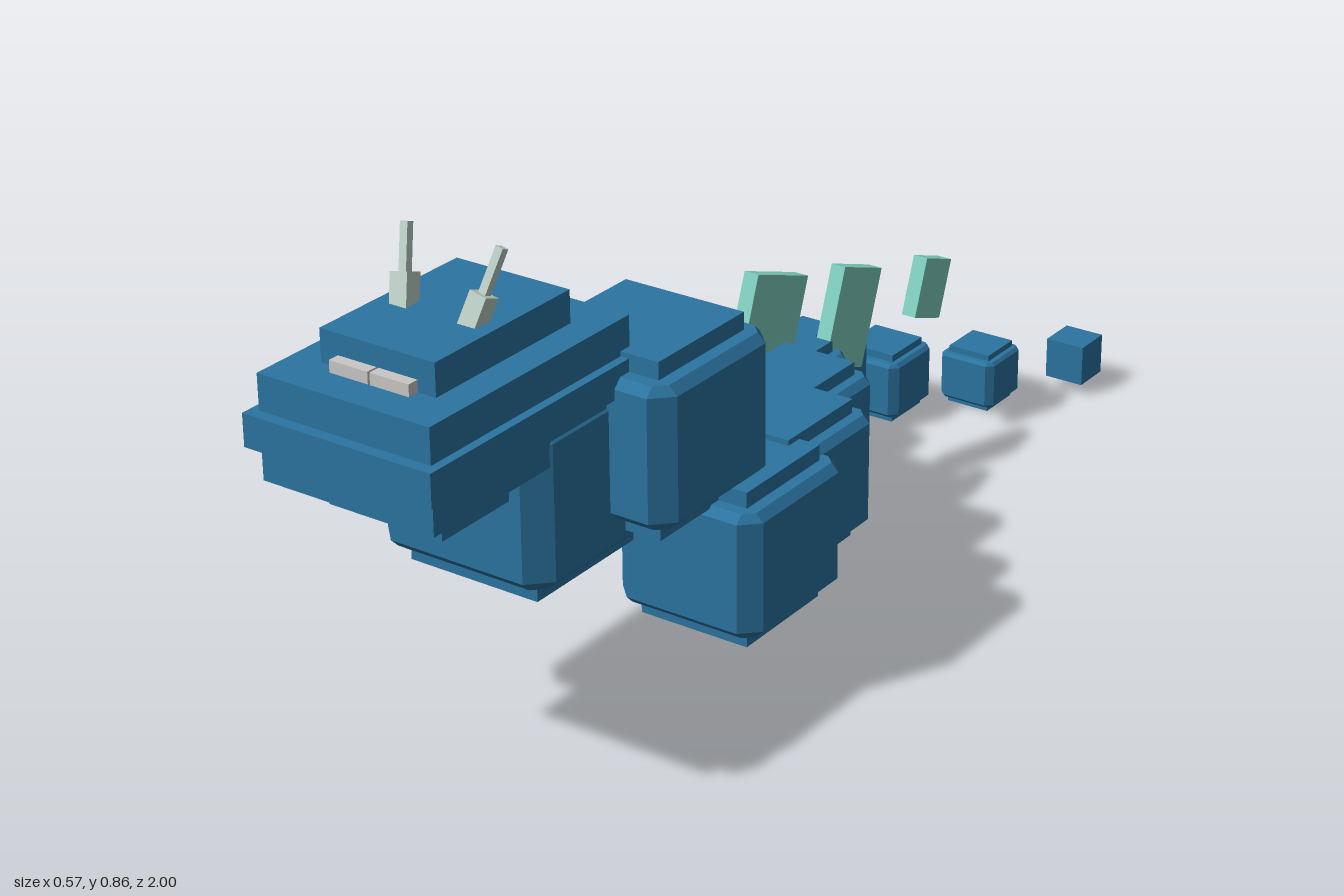
import * as THREE from 'three';
import { ConvexGeometry } from 'three/addons/geometries/ConvexGeometry.js';

const mat = (name, color) => {
  const m = new THREE.MeshStandardMaterial({ color });
  m.name = name;
  return m;
};

export function createModel() {
  const blue = mat('blue', 0x2b74a0);
  const teal = mat('teal', 0x80d0c0);
  const pale = mat('paleGreen', 0xbccfc6);
  const grey = mat('lightGrey', 0xcac8c6);
  const MID = -0.03; // centre line of head and fins
  const model = new THREE.Group();
  model.name = 'serpent';

  const box = (name, m, size, pos, parent = model) => {
    const mesh = new THREE.Mesh(new THREE.BoxGeometry(...size), m);
    mesh.name = name;
    mesh.position.set(...pos);
    parent.add(mesh);
    return mesh;
  };

  // Unit block with chamfered edges, shared by the body segments
  const corners = [];
  for (const x of [-1, 1]) for (const y of [-1, 1]) for (const z of [-1, 1]) {
    for (const [a, b, c] of [[0.5, 0.35, 0.39], [0.39, 0.35, 0.5], [0.45, 0.4, 0.39], [0.39, 0.4, 0.45]]) {
      corners.push(new THREE.Vector3(a * x, b * y, c * z));
    }
  }
  const chamfered = new ConvexGeometry(corners);

  // Body: x, y, z, size, from the neck to the tail
  const segments = [
    [MID, 0.445, 0.58, 0.327],
    [0.087, 0.493, 0.42, 0.3],
    [0.15, 0.239, 0.275, 0.273],
    [0.12, 0.26, 0.11, 0.25],
    [0.037, 0.256, -0.04, 0.235],
    [-0.093, 0.217, -0.197, 0.21],
    [-0.19, 0.172, -0.345, 0.183],
    [-0.207, 0.121, -0.503, 0.16],
    [-0.145, 0.081, -0.655, 0.135],
    [-0.027, 0.058, -0.81, 0.114],
  ];
  segments.forEach(([x, y, z, s], i) => {
    const seg = new THREE.Group();
    seg.name = 'bodySegment' + (i + 1);
    seg.position.set(x, y, z);
    seg.scale.setScalar(s);
    const core = new THREE.Mesh(chamfered, blue);
    core.name = 'segmentCore';
    seg.add(core);
    box('segmentCaps', blue, [0.75, 1, 0.75], [0, 0, 0], seg);
    // Slim pale strip low on every other segment
    if (i % 2 === 0 && i < 7) box('bellyStrip', grey, [0.76, 0.04, 0.6], [0, -0.44, 0], seg);
    model.add(seg);
  });
  box('tailTip', blue, [0.077, 0.077, 0.075], [0.09, 0.062, -0.9625]);

  // Head: stacked slabs given as width, bottom, top, back, front
  const slabs = [
    ['headCrown', 0.214, 0.695, 0.75, 0.585, 0.9],
    ['upperHead', 0.32, 0.635, 0.695, 0.51, 0.98],
    ['headRim', 0.35, 0.58, 0.635, 0.5, 1],
    ['lowerHead', 0.32, 0.522, 0.58, 0.51, 0.98],
    ['chin', 0.214, 0.465, 0.522, 0.585, 0.9],
  ];
  for (const [name, w, y0, y1, z0, z1] of slabs) {
    box(name, blue, [w, y1 - y0, z1 - z0], [MID, (y0 + y1) / 2, (z0 + z1) / 2]);
  }

  for (const side of [-1, 1]) {
    // Pale front plates on the crown
    box('eyePlate', grey, [0.072, 0.02, 0.024], [MID + side * 0.038, 0.705, 0.908]);

    // Horn, leaning outwards and back
    const horn = new THREE.Group();
    horn.name = side < 0 ? 'rightHorn' : 'leftHorn';
    horn.position.set(MID + side * 0.063, 0.74, 0.763);
    horn.rotation.set(-0.36, 0, -side * 0.2);
    box('hornBase', pale, [0.032, 0.056, 0.032], [0, 0.028, 0], horn);
    box('hornTip', pale, [0.014, 0.075, 0.014], [0, 0.0925, 0], horn);
    model.add(horn);
  }

  // Back fins: y, z, height, length
  const fins = [
    [0.295, 0.463, 0.14, 0.1],
    [0.345, 0.185, 0.21, 0.135],
    [0.405, -0.09, 0.2, 0.16],
    [0.34, -0.345, 0.18, 0.127],
    [0.3, -0.613, 0.11, 0.09],
  ];
  fins.forEach(([y, z, h, l], i) => {
    box('backFin' + (i + 1), teal, [0.028, h, l], [MID, y, z]).rotation.x = -0.35;
  });

  return model;
}
